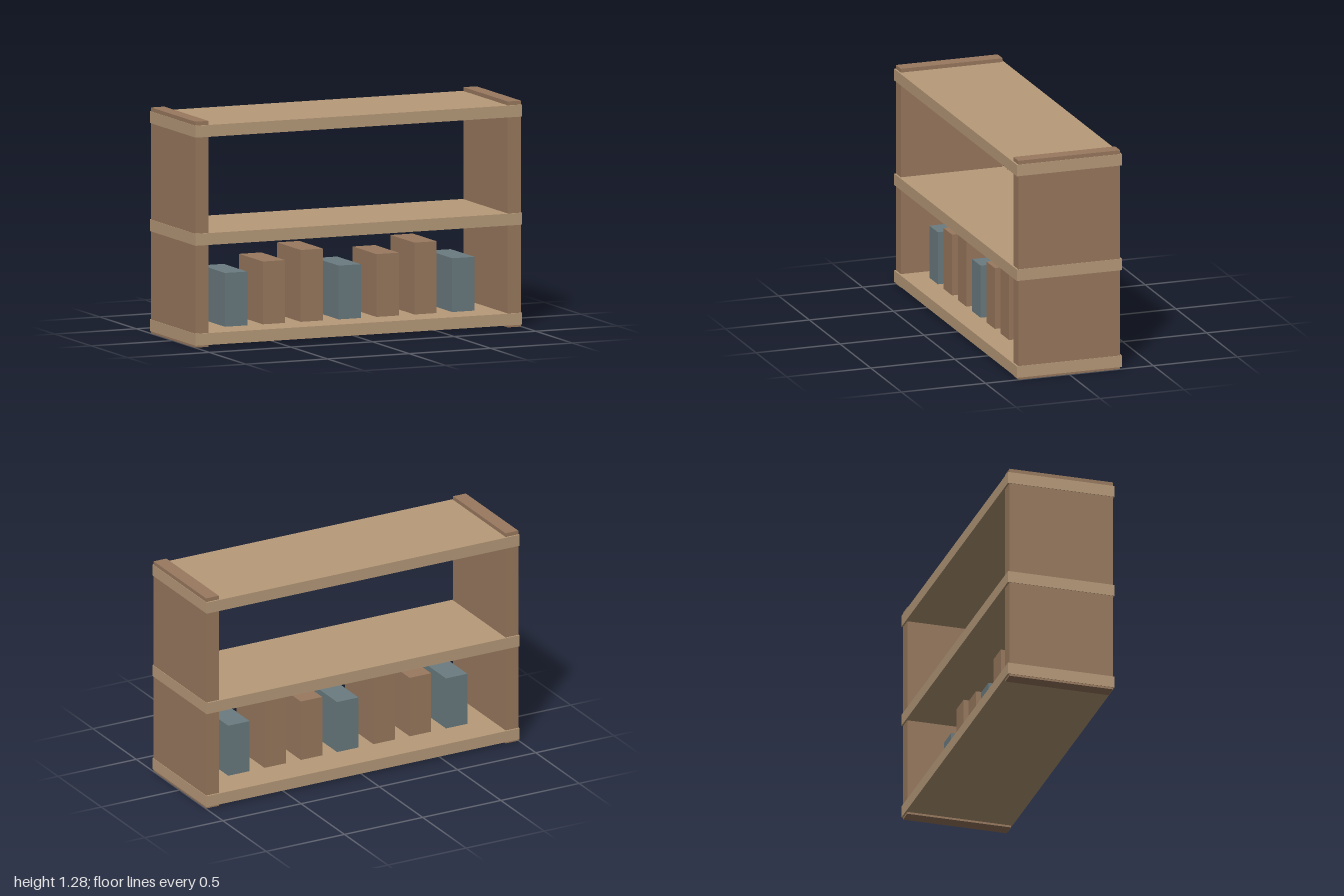
import * as THREE from 'three';

export function createModel() {
  const model = new THREE.Group();
  model.name = 'shelfUnit';

  const material = (name, color) => {
    const m = new THREE.MeshStandardMaterial({ color });
    m.name = name;
    return m;
  };
  const lightWood = material('light wood', 0xb89b7a);
  const darkWood = material('dark wood', 0x9a7a5f);
  const slate = material('slate blue', 0x6b7c80);

  // Box standing on height y
  const box = (name, mat, w, h, d, x, y, z) => {
    const mesh = new THREE.Mesh(new THREE.BoxGeometry(w, h, d), mat);
    mesh.name = name;
    mesh.position.set(x, y + h / 2, z);
    model.add(mesh);
  };

  // Side panels, set a hair inside the shelf ends
  for (const s of [-1, 1]) {
    box(s > 0 ? 'leftPanel' : 'rightPanel', darkWood, 0.081, 1.277, 0.606, s * 0.957, 0, 0);
  }

  // Three full-width shelves
  ['bottomShelf', 'middleShelf', 'topShelf'].forEach((name, i) => {
    box(name, lightWood, 2, 0.067, 0.625, 0, [0.012, 0.577, 1.188][i], 0);
  });

  // Row of seven books, heights repeating in threes
  for (let i = 0; i < 7; i++) {
    const step = i % 3;
    box('book' + (i + 1), step === 0 ? slate : darkWood,
      0.137, 0.304 + step * 0.051, 0.325, (i - 3) * 0.232, 0.089, 0.026);
  }

  return model;
}
